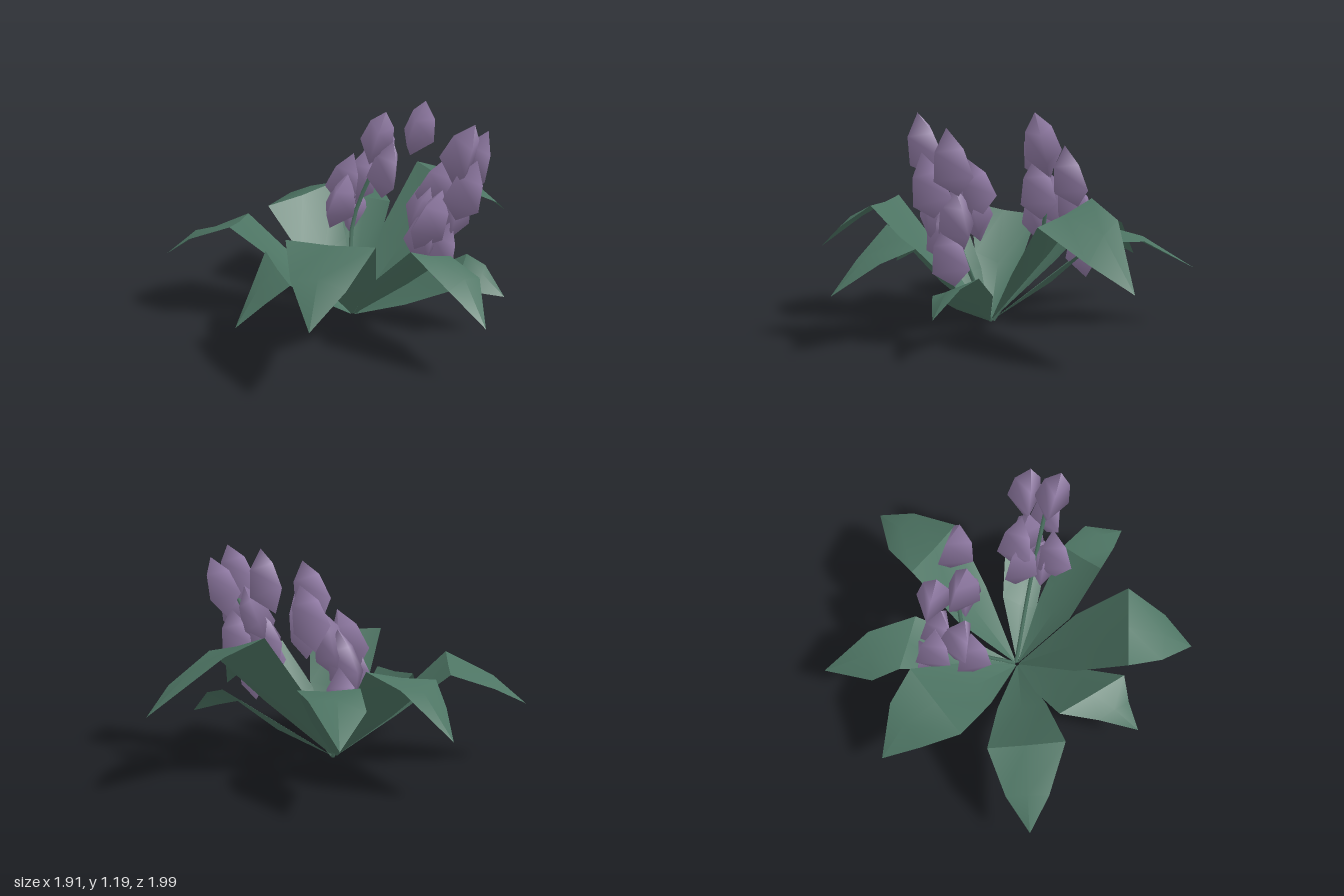
import * as THREE from 'three';

const leafGreen = new THREE.MeshStandardMaterial({ color: 0x4d7463, side: THREE.DoubleSide });
leafGreen.name = 'leaf green';
const petalPurple = new THREE.MeshStandardMaterial({ color: 0x927ca6 });
petalPurple.name = 'petal purple';

const V = (p) => new THREE.Vector3(...p);
const BASE = V([0.03, 0.01, 0.04]);

// Smooth surface through rows of [left, centre, right] points
function plate(rows, name) {
  const pos = rows.flat().flatMap((p) => [p.x, p.y, p.z]);
  const index = [];
  for (let i = 0; i < rows.length - 1; i++) {
    for (let j = 0; j < 2; j++) {
      const a = i * 3 + j;
      index.push(a, a + 1, a + 3, a + 1, a + 4, a + 3);
    }
  }
  const g = new THREE.BufferGeometry();
  g.setAttribute('position', new THREE.Float32BufferAttribute(pos, 3));
  g.setIndex(index);
  g.computeVertexNormals();
  const m = new THREE.Mesh(g, leafGreen);
  m.name = name;
  return m;
}

// Row across the leaf, with the midrib lifted or sunk
function row(left, right, rib) {
  const mid = left.clone().lerp(right, 0.5);
  mid.y += rib;
  return [left, mid, right];
}

// Leaf: blade rising straight to a fold, then a drooping pointed end.
// bulge widens the left and right edges halfway up the blade.
function leaf({ fold, outer, tip, bulge = [0.2, 0.2] }) {
  const [fl, fr] = fold.map(V);
  const [ol, or] = outer.map(V);
  const end = V(tip);
  const foldMid = fl.clone().lerp(fr, 0.5);
  const blade = [[0.02, 0], [0.55, 1], [1, 0]].map(([t, k]) => {
    const c = BASE.clone().lerp(foldMid, t);
    const edge = (p, b) => c.clone().addScaledVector(p.clone().sub(foldMid), t * (1 + k * b));
    return row(edge(fl, bulge[0]), edge(fr, bulge[1]), k ? -0.04 : -0.01 * t);
  });
  const droop = [row(fl, fr, -0.01), row(ol, or, 0.03), [end, end.clone(), end.clone()]];
  const g = new THREE.Group();
  g.name = 'leaf';
  g.add(plate(blade, 'leafBlade'), plate(droop, 'leafEnd'));
  return g;
}

const LEAVES = [
  // front, broad
  { fold: [[0, 0.68, 0.67], [0.43, 0.68, 0.55]], outer: [[0.13, 0.56, 0.84], [0.4, 0.54, 0.79]], tip: [0.32, 0.4, 0.99], bulge: [0.3, 0.5] },
  // front, low
  { fold: [[-0.31, 0.46, 0.39], [0.02, 0.44, 0.67]], outer: [[-0.25, 0.36, 0.61], [-0.09, 0.34, 0.74]], tip: [-0.2, 0.23, 0.84] },
  // front, negative x
  { fold: [[-0.63, 0.52, 0.08], [-0.48, 0.59, 0.47]], outer: [[-0.83, 0.43, 0.25], [-0.76, 0.47, 0.47]], tip: [-0.96, 0.33, 0.43] },
  // back, negative x
  { fold: [[-0.36, 0.6, -0.45], [-0.6, 0.52, -0.08]], outer: [[-0.56, 0.53, -0.5], [-0.72, 0.42, -0.28]], tip: [-0.82, 0.3, -0.48] },
  // back, long
  { fold: [[-0.03, 0.5, -0.55], [-0.36, 0.53, -0.52]], outer: [[-0.2, 0.5, -0.77], [-0.45, 0.45, -0.66]], tip: [-0.45, 0.33, -0.97] },
  // back, tall
  { fold: [[0.51, 0.66, -0.49], [0.12, 0.76, -0.6]], outer: [[0.57, 0.52, -0.78], [0.24, 0.68, -0.79]], tip: [0.55, 0.4, -1], bulge: [0.2, 0.4] },
  // positive x, low
  { fold: [[0.63, 0.29, 0.03], [0.6, 0.4, -0.22]], outer: [[0.74, 0.27, -0.04], [0.72, 0.37, -0.19]], tip: [0.86, 0.24, -0.12], bulge: [0.3, 0.7] },
  // positive x, front
  { fold: [[0.53, 0.61, 0.37], [0.64, 0.52, 0.12]], outer: [[0.75, 0.46, 0.4], [0.83, 0.47, 0.2]], tip: [0.95, 0.31, 0.41], bulge: [0.8, 0.3] },
];

// Bud centre, then lean along x and z
const BUDS = [
  // back cluster
  [0.22, 1.02, -0.37, 0.3, 0.1], [0.02, 0.96, -0.27, 0.35, 0.1], [-0.03, 0.84, -0.42, 0.3, 0.1],
  [0.08, 0.78, -0.28, 0.2, 0], [-0.16, 0.71, -0.23, 0.35, 0.1], [-0.13, 0.7, -0.35, 0.25, 0],
  [-0.22, 0.62, -0.36, 0.3, 0], [-0.17, 0.59, -0.16, 0.3, -0.1], [-0.22, 0.43, -0.42, 0.1, 0],
  // side cluster
  [0.65, 1.03, 0.03, 0.35, 0.1], [0.67, 0.96, -0.12, 0.3, 0], [0.67, 0.84, 0.02, 0.3, 0],
  [0.45, 0.81, -0.1, 0.4, 0], [0.5, 0.68, 0.1, 0.35, -0.2], [0.39, 0.68, -0.07, 0.4, 0],
  [0.57, 0.67, -0.09, 0.25, 0], [0.47, 0.57, 0.05, 0.3, 0], [0.54, 0.48, -0.02, 0.25, 0],
];

// Flower stalks among the buds
const STALKS = [
  [[0.03, 0.02, 0.02], [-0.1, 0.45, -0.2], [0.02, 0.86, -0.3]],
  [[0.04, 0.02, 0.03], [0.38, 0.45, 0], [0.62, 0.9, 0]],
];

export function createModel() {
  const plant = new THREE.Group();
  plant.name = 'floweringPlant';

  LEAVES.forEach((l) => plant.add(leaf(l)));

  // Three-sided bud, widest below the middle
  const profile = [[0, -0.17], [0.11, -0.06], [0.08, 0.08], [0, 0.18]];
  const budGeo = new THREE.LatheGeometry(profile.map((p) => new THREE.Vector2(...p)), 3);
  BUDS.forEach(([x, y, z, leanX, leanZ], i) => {
    const bud = new THREE.Mesh(budGeo, petalPurple);
    bud.name = 'bud';
    bud.position.set(x, y, z);
    bud.rotation.set(leanZ, 0, -leanX);
    bud.rotateY(i * 2.4);
    plant.add(bud);
  });

  STALKS.forEach((pts) => {
    const curve = new THREE.CatmullRomCurve3(pts.map(V));
    const stalk = new THREE.Mesh(new THREE.TubeGeometry(curve, 8, 0.012, 5), leafGreen);
    stalk.name = 'flowerStalk';
    plant.add(stalk);
  });
  return plant;
}
